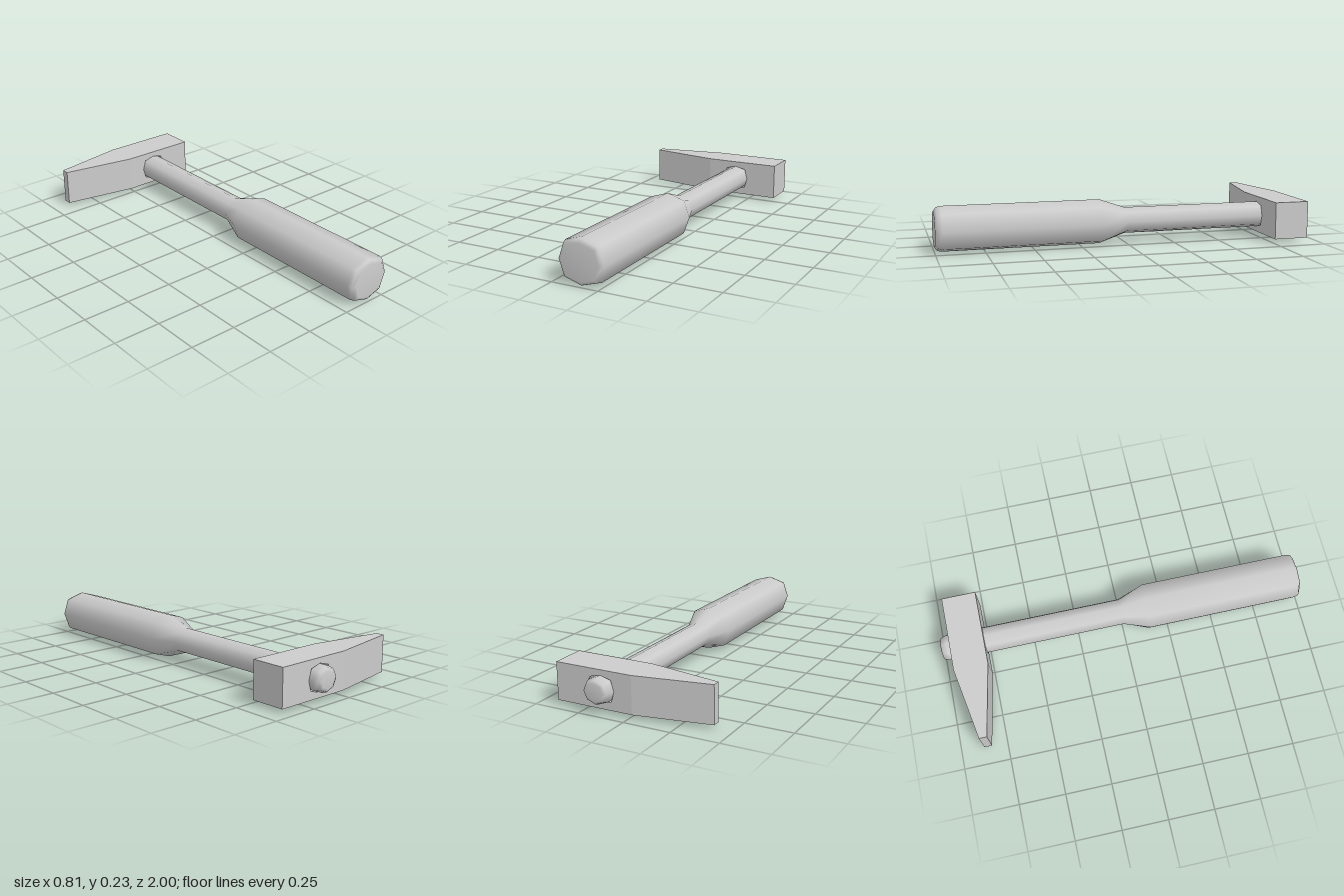
import * as THREE from 'three';
import { mergeGeometries } from 'three/addons/utils/BufferGeometryUtils.js';

const AXIS_X = 0.156, AXIS_Y = 0.12; // handle axis, running along z
const material = new THREE.MeshStandardMaterial({ color: 0xcccccc });

// Eight-sided handle, slightly oval, turned from a [radius, z] profile
function handleGeometry() {
  const profile = [
    [0, -1], [0.048, -1], [0.064, -0.992], [0.075, -0.965], // rounded top end
    [0.075, 0], [0.127, 0.14],                              // shaft, flare
    [0.127, 0.965], [0.12, 0.988], [0.1, 1], [0, 1],        // grip, rounded butt
  ].map(([r, z]) => new THREE.Vector2(r, z));
  const geo = new THREE.LatheGeometry(profile, 8);
  geo.rotateX(Math.PI / 2);
  // Push the diagonal corners of the grip out to make it squarer
  const p = geo.attributes.position;
  for (let i = 0; i < p.count; i++) {
    const x = p.getX(i), y = p.getY(i);
    const diagonal = Math.abs(x) > 1e-4 && Math.abs(y) > 1e-4;
    const k = diagonal && p.getZ(i) > 0.1 ? 1.065 : 1;
    p.setXY(i, x * k, y * k * 0.925);
  }
  geo.translate(AXIS_X, AXIS_Y, 0);
  return geo;
}

// Head: square block with an eye for the handle, plus a tapering peen
function headGeometry() {
  const left = -0.41, split = -0.015, right = 0.405;
  const bottom = 0.022, top = 0.218, back = -0.946, front = -0.761;

  const face = new THREE.Shape([
    new THREE.Vector2(split, bottom), new THREE.Vector2(right, bottom),
    new THREE.Vector2(right, top), new THREE.Vector2(split, top),
  ]);
  const eye = [];
  for (let i = 0; i < 8; i++) {
    const a = -i * Math.PI / 4, k = i % 2 ? 1.1 : 1;
    eye.push(new THREE.Vector2(AXIS_X + Math.cos(a) * 0.075 * k, AXIS_Y + Math.sin(a) * 0.07 * k));
  }
  face.holes.push(new THREE.Path(eye));
  const block = new THREE.ExtrudeGeometry(face, { depth: front - back, bevelEnabled: false });
  block.translate(0, 0, back);

  // Peen outline in plan (x, -z), extruded upward
  const plan = new THREE.Shape([
    new THREE.Vector2(left, 0.834), new THREE.Vector2(split, -front),
    new THREE.Vector2(split, -back), new THREE.Vector2(left, 0.876),
  ]);
  const peen = new THREE.ExtrudeGeometry(plan, { depth: top - bottom, bevelEnabled: false });
  peen.rotateX(-Math.PI / 2).translate(0, bottom, 0);

  // Join both and drop the hidden faces where they meet
  const joined = mergeGeometries([block, peen]);
  const p = joined.attributes.position, kept = [];
  for (let i = 0; i < p.count; i += 3) {
    const onSeam = [0, 1, 2].every((j) => Math.abs(p.getX(i + j) - split) < 1e-4);
    if (!onSeam) for (let j = 0; j < 3; j++) kept.push(p.getX(i + j), p.getY(i + j), p.getZ(i + j));
  }
  const geo = new THREE.BufferGeometry();
  geo.setAttribute('position', new THREE.Float32BufferAttribute(kept, 3));
  geo.computeVertexNormals();
  return geo;
}

export function createModel() {
  const group = new THREE.Group();
  group.name = 'hammer';
  const add = (name, geometry) => {
    const mesh = new THREE.Mesh(geometry, material);
    mesh.name = name;
    group.add(mesh);
  };
  add('handle', handleGeometry());
  add('head', headGeometry());
  return group;
}
